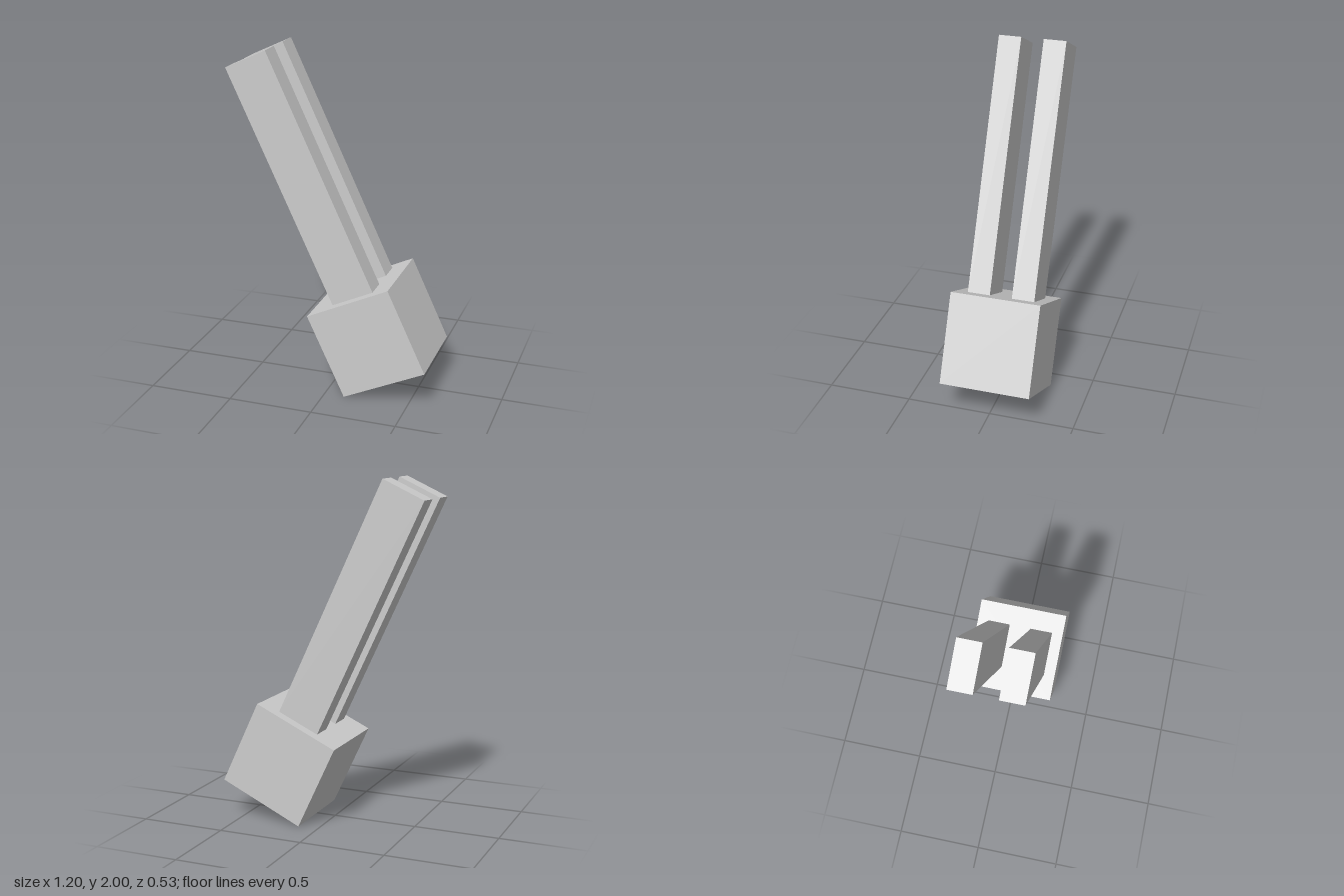
import * as THREE from 'three';

export function createModel() {
  const model = new THREE.Group();
  const grey = new THREE.MeshStandardMaterial({ color: 0xcccccc });
  grey.name = 'grey';

  // Everything shares one tilt, pivoting about the centre of the block
  const tilted = new THREE.Group();
  tilted.name = 'tiltedAssembly';
  tilted.position.set(0.2475, 0.3525, 0);
  tilted.rotation.z = THREE.MathUtils.degToRad(25);
  model.add(tilted);

  function addBox(name, size, position) {
    const mesh = new THREE.Mesh(new THREE.BoxGeometry(...size), grey);
    mesh.name = name;
    mesh.position.set(...position);
    tilted.add(mesh);
  }

  // Cube base
  const side = 0.53;
  addBox('baseBlock', [side, side, side], [0, 0, 0]);

  // Pair of long parallel bars standing on the block
  const bottom = side / 2, top = 1.75;
  for (const [name, s] of [['frontBar', 1], ['backBar', -1]]) {
    addBox(name, [0.264, top - bottom, 0.133], [0.014, (top + bottom) / 2, s * 0.1325]);
  }
  return model;
}
